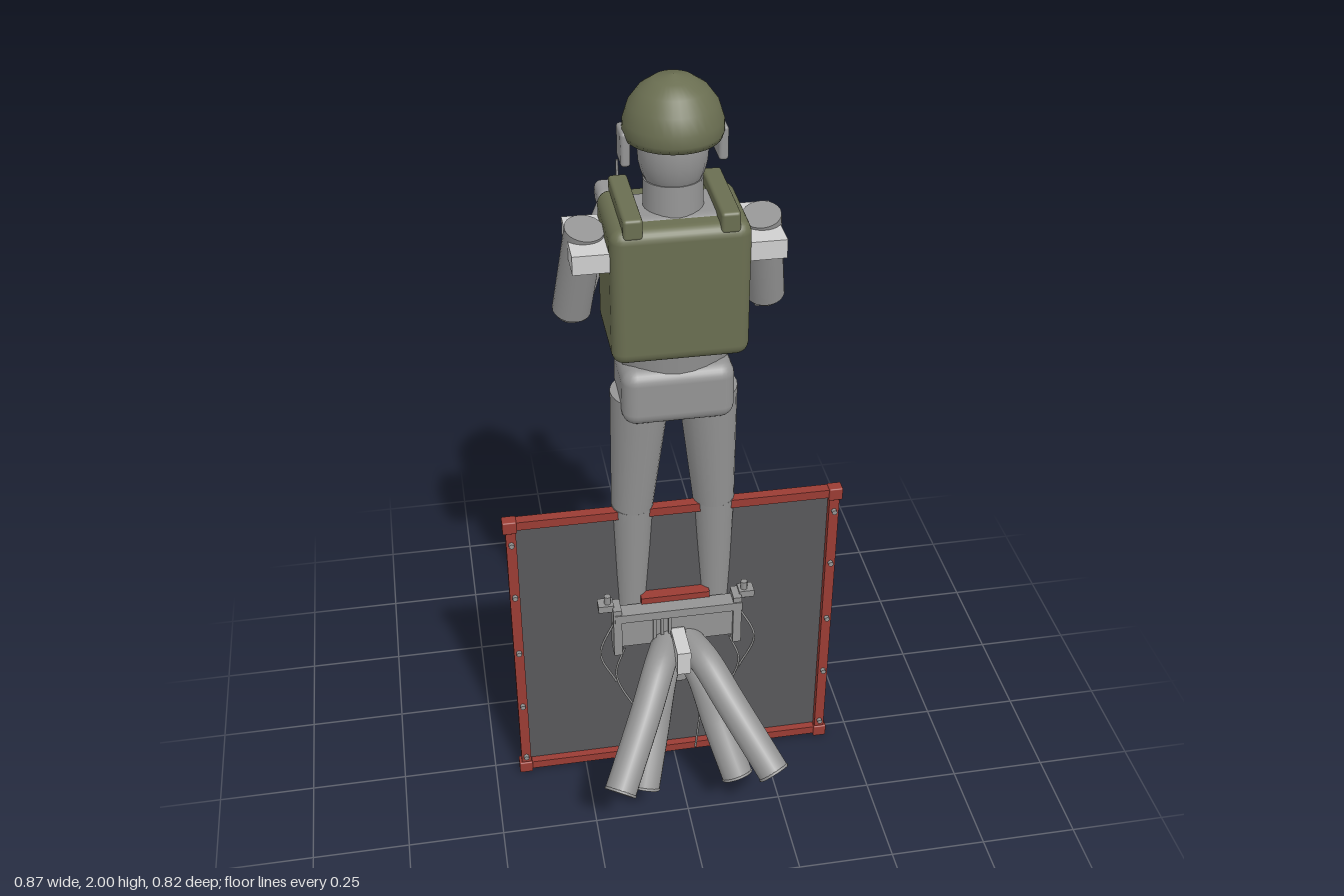
import * as THREE from 'three';
import { RoundedBoxGeometry } from 'three/addons/geometries/RoundedBoxGeometry.js';

const mat = (name, color) => {
  const m = new THREE.MeshStandardMaterial({ color, side: THREE.DoubleSide });
  m.name = name;
  return m;
};

export function createModel() {
  const root = new THREE.Group();
  root.name = 'soldierWithPanel';
  const grey = mat('body grey', 0x949494);
  const light = mat('pale grey', 0xcfcfcf);
  const olive = mat('olive', 0x6a6e51);
  const red = mat('frame red', 0x9a3c34);
  const dark = mat('dark sheet', 0x58585b);
  const back = mat('back sheet grey', 0x888888);

  const V = (x, y, z) => new THREE.Vector3(x, y, z);
  const add = (name, geo, m, parent = root) => {
    const mesh = new THREE.Mesh(geo, m);
    mesh.name = name;
    parent.add(mesh);
    return mesh;
  };
  // Box given by its limits; r rounds the edges
  const box = (name, m, x0, x1, y0, y1, z0, z1, r = 0) => {
    const s = [x1 - x0, y1 - y0, z1 - z0];
    const mesh = add(name, r ? new RoundedBoxGeometry(...s, 3, r) : new THREE.BoxGeometry(...s), m);
    mesh.position.set((x0 + x1) / 2, (y0 + y1) / 2, (z0 + z1) / 2);
    return mesh;
  };
  // Tapered cylinder from a (radius ra) to b (radius rb)
  const limb = (name, m, a, b, ra, rb, sides = 24) => {
    const d = b.clone().sub(a);
    const mesh = add(name, new THREE.CylinderGeometry(rb, ra, d.length(), sides), m);
    mesh.position.copy(a).addScaledVector(d, 0.5);
    mesh.quaternion.setFromUnitVectors(V(0, 1, 0), d.normalize());
    return mesh;
  };
  const ball = (name, m, x, y, z, r) => {
    const mesh = add(name, new THREE.SphereGeometry(r, 20, 14), m);
    mesh.position.set(x, y, z);
    return mesh;
  };

  // Head, neck and helmet
  const head = ball('head', grey, 0, 1.83, 0.005, 0.08);
  head.scale.set(1, 1.5, 1);
  limb('neck', grey, V(0, 1.64, 0.01), V(0, 1.76, 0.005), 0.07, 0.068);
  const helmet = add('helmet', new THREE.LatheGeometry(
    [[0, 0], [0.108, 0], [0.113, 0.015], [0.112, 0.04], [0.1, 0.077], [0.077, 0.108], [0.045, 0.13], [0, 0.14]]
      .map(p => new THREE.Vector2(...p)), 36), olive);
  helmet.position.set(0, 1.86, 0.01);
  box('helmetMount', grey, -0.017, 0.017, 1.885, 1.935, -0.108, -0.09, 0.005);

  // Torso, waist and pelvis
  box('chest', grey, -0.14, 0.14, 1.34, 1.695, -0.08, 0.1, 0.04);
  const waist = limb('waist', grey, V(0, 1.28, 0.015), V(0, 1.38, 0.015), 0.125, 0.145);
  waist.scale.z = 0.65;
  box('pelvis', grey, -0.135, 0.135, 1.16, 1.31, -0.08, 0.108, 0.035);

  // Vest and chest pouches
  box('vest', olive, -0.16, 0.16, 1.35, 1.69, -0.11, 0.133, 0.03);
  for (const x of [-0.105, 0, 0.105]) {
    box('pouch', olive, x - 0.045, x + 0.045, 1.39, 1.51, -0.153, -0.1, 0.012);
    box('pouchFlap', olive, x - 0.03, x + 0.03, 1.48, 1.515, -0.164, -0.148, 0.006);
  }
  box('radio', grey, -0.128, -0.084, 1.58, 1.65, -0.152, -0.112, 0.006);
  limb('antenna', grey, V(-0.106, 1.64, -0.13), V(-0.106, 1.745, -0.13), 0.004, 0.003, 8);

  for (const s of [-1, 1]) {
    const P = (x, y, z) => V(s * x, y, z);
    const side = (name, m, x0, x1, ...rest) =>
      box(name, m, Math.min(s * x0, s * x1), Math.max(s * x0, s * x1), ...rest);

    // Ear cups, shoulder straps and pads
    side('earCup', grey, 0.098, 0.12, 1.8, 1.88, -0.035, 0.035, 0.008);
    side('vestStrap', olive, 0.087, 0.131, 1.67, 1.72, -0.108, 0.131, 0.008);
    side('shoulderPad', light, 0.155, 0.243, 1.587, 1.633, -0.088, 0.11);

    // Arms reaching to the rear of the panel
    limb('upperArm', grey, P(0.202, 1.652, 0.015), P(0.232, 1.415, -0.045), 0.046, 0.046);
    ball('elbow', grey, s * 0.232, 1.425, -0.045, 0.043);
    limb('forearm', grey, P(0.238, 1.415, -0.03), P(0.112, 1.565, -0.255), 0.042, 0.03);
    side('hand', grey, 0.075, 0.138, 1.55, 1.608, -0.33, -0.245, 0.018);

    // Legs, knee pads and boots
    limb('thigh', grey, P(0.082, 1.21, 0.018), P(0.104, 0.87, 0.005), 0.073, 0.053);
    limb('shin', grey, P(0.104, 0.87, 0.005), P(0.111, 0.5, -0.005), 0.053, 0.038);
    side('kneePad', grey, 0.068, 0.14, 0.82, 0.93, -0.077, -0.04, 0.01);
    side('boot', grey, 0.058, 0.162, 0.445, 0.55, -0.14, 0.03, 0.02);
  }

  // Framed panel
  box('panelFront', dark, -0.405, 0.405, 0.02, 0.86, 0.012, 0.018);
  box('panelBack', back, -0.42, 0.42, 0.008, 0.862, 0.003, 0.012);
  box('frameTop', red, -0.42, 0.42, 0.844, 0.868, 0.011, 0.038);
  box('frameBottom', red, -0.42, 0.42, 0.012, 0.036, 0.011, 0.038);
  for (const s of [-1, 1]) {
    box('framePost', red, s * 0.415 - 0.013, s * 0.415 + 0.013, 0.02, 0.86, 0.011, 0.036);
    for (const y of [0.02, 0.853]) {
      box('frameCorner', red, s * 0.417 - 0.018, s * 0.417 + 0.018, y - 0.018, y + 0.018, 0.009, 0.041, 0.004);
    }
    for (const y of [0.06, 0.25, 0.44, 0.63, 0.8]) {
      limb('framePeg', grey, V(s * 0.415, y, 0.034), V(s * 0.415, y, 0.046), 0.007, 0.007, 8);
    }
  }
  box('upperBracket', red, -0.09, 0.09, 0.565, 0.588, 0.018, 0.05);
  box('lowerBracket', red, -0.055, 0.055, 0.298, 0.318, 0.018, 0.045);

  // Equipment rack on the panel's face
  box('rackPlate', grey, -0.16, 0.165, 0.455, 0.555, 0.04, 0.075);
  box('rackRail', grey, -0.165, 0.17, 0.545, 0.57, 0.045, 0.088);
  box('rackBase', grey, -0.05, 0.05, 0.325, 0.46, 0.03, 0.08);
  for (const x of [-0.065, -0.045, -0.025]) box('rackSlat', grey, x, x + 0.008, 0.46, 0.545, 0.074, 0.084);
  box('rackPeg', light, -0.018, 0.018, 0.43, 0.5, 0.08, 0.18);
  box('rackLatch', grey, -0.02, 0.02, 0.33, 0.5, 0.07, 0.1, 0.006);
  for (const s of [-1, 1]) {
    box('rackPost', grey, s * 0.158 - 0.011, s * 0.158 + 0.011, 0.435, 0.585, 0.035, 0.085);
    box('rackClamp', grey, s * 0.185 - 0.02, s * 0.185 + 0.02, 0.572, 0.592, 0.035, 0.07);
    limb('clampPin', grey, V(s * 0.18, 0.565, 0.055), V(s * 0.18, 0.615, 0.055), 0.009, 0.009, 8);
    // Hanging cords
    const cords = [
      [V(s * 0.165, 0.54, 0.07), V(s * 0.205, 0.45, 0.085), V(s * 0.165, 0.34, 0.08)],
      [V(s * 0.14, 0.45, 0.075), V(s * 0.165, 0.37, 0.085), V(s * 0.1, 0.2, 0.075)],
      [V(s * 0.05, 0.4, 0.085), V(s * 0.06, 0.25, 0.1), V(s * 0.045, 0.09, 0.11)]
    ];
    for (const c of cords) add('cord', new THREE.TubeGeometry(new THREE.CatmullRomCurve3(c), 16, 0.003, 6), grey);

    // Drooping open sleeves
    const sleeves = [
      [V(s * 0.025, 0.45, 0.07), V(s * 0.06, 0.44, 0.15), V(s * 0.11, 0.37, 0.24), V(s * 0.2, 0.235, 0.378)],
      [V(s * 0.025, 0.43, 0.08), V(s * 0.055, 0.38, 0.14), V(s * 0.085, 0.27, 0.2), V(s * 0.125, 0.145, 0.285)]
    ];
    for (const path of sleeves) {
      const curve = new THREE.CatmullRomCurve3(path);
      add('sleeve', new THREE.TubeGeometry(curve, 28, 0.041, 20), grey);
      const rim = add('sleeveRim', new THREE.TorusGeometry(0.039, 0.004, 6, 20), grey);
      rim.position.copy(path[3]);
      rim.quaternion.setFromUnitVectors(V(0, 0, 1), curve.getTangent(1));
    }
  }

  // Rifle pointing backward from the panel
  box('receiver', grey, -0.018, 0.018, 0.455, 0.515, -0.16, 0.03, 0.005);
  limb('handguard', grey, V(0, 0.485, -0.15), V(0, 0.485, -0.325), 0.015, 0.012, 16);
  for (let i = 0; i < 10; i++) {
    const z = -0.165 - i * 0.016, r = 0.02 - i * 0.0006;
    limb('handguardRib', grey, V(0, 0.485, z), V(0, 0.485, z - 0.009), r, r, 16);
  }
  limb('barrel', grey, V(0, 0.483, -0.32), V(0, 0.483, -0.41), 0.006, 0.006, 12);
  limb('muzzle', grey, V(0, 0.483, -0.375), V(0, 0.483, -0.41), 0.009, 0.009, 12);
  box('frontSightBase', grey, -0.01, 0.01, 0.475, 0.505, -0.357, -0.33);
  limb('frontSight', grey, V(0, 0.5, -0.343), V(0, 0.545, -0.346), 0.007, 0.004, 8);
  const magazine = box('magazine', grey, -0.013, 0.013, 0.28, 0.46, -0.132, -0.09, 0.004);
  magazine.rotation.x = 0.2;
  const grip = box('grip', grey, -0.012, 0.012, 0.37, 0.46, -0.055, -0.025, 0.004);
  grip.rotation.x = -0.3;

  // Small gear hanging beside the rifle
  for (let i = 0; i < 6; i++) {
    const y = 0.32 + i * 0.02, z = -0.03 - (i % 3) * 0.014;
    limb('hangingGear', grey, V(-0.02 + (i % 2) * 0.02, y, z), V(0.035, y + 0.012, z - 0.012), 0.01, 0.008, 10);
  }
  return root;
}
